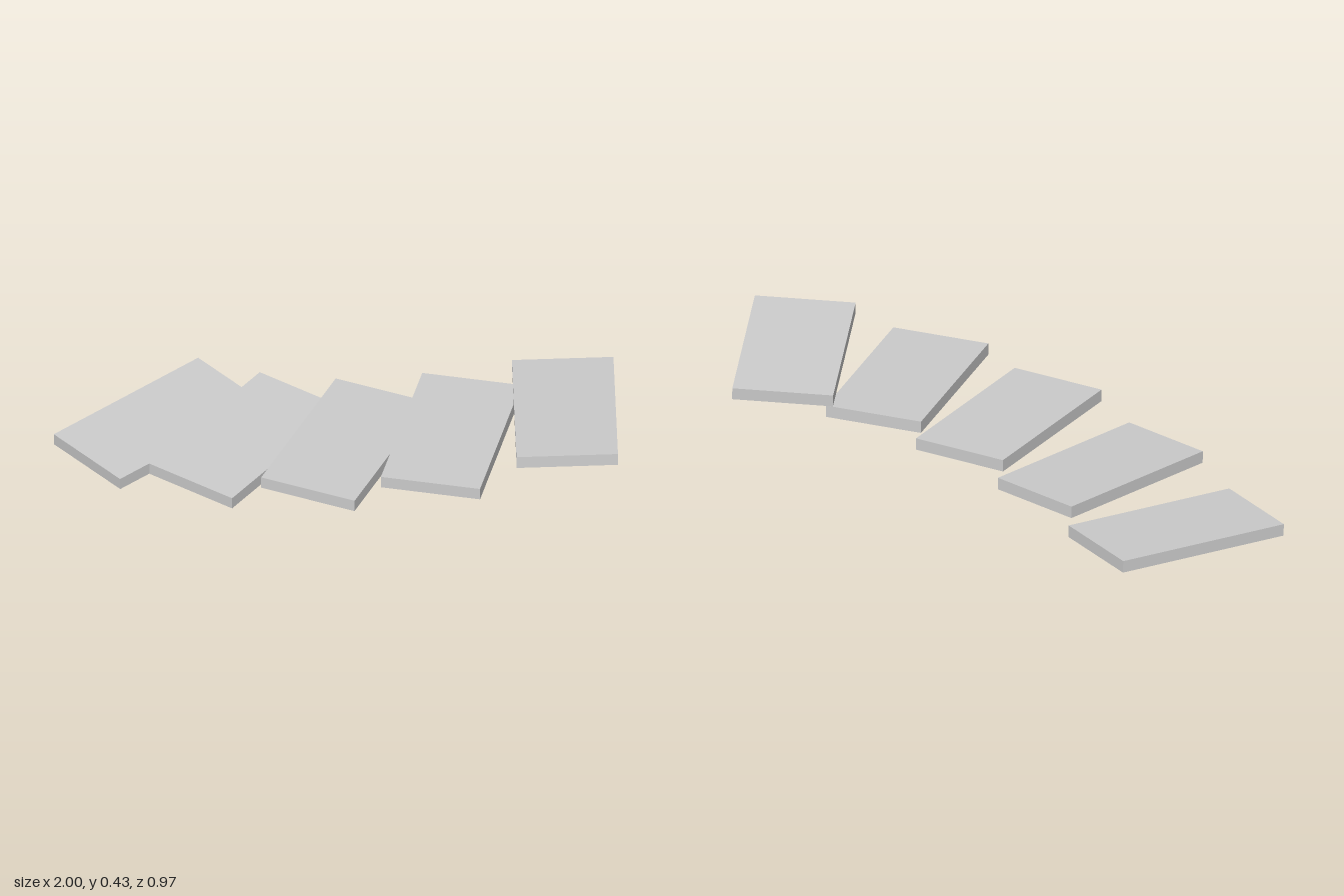
import * as THREE from 'three';

// Curved flight of five floating, slightly tilted slabs
export function createModel() {
  const group = new THREE.Group();
  group.name = 'curvedSteps';
  const material = new THREE.MeshStandardMaterial({ color: 0xcccccc });
  const slab = new THREE.BoxGeometry(0.341, 0.042, 0.64);

  // centre x, y, z, then yaw, pitch, roll in degrees
  const steps = [
    [-0.667, 0.046, -0.132, -38, 3, -1.7],
    [-0.335, 0.134, 0.043, -24.1, 2.2, -1.6],
    [0.023, 0.221, 0.134, -11.7, 0.9, -1.1],
    [0.387, 0.306, 0.139, -1.2, 0.6, 0],
    [0.76, 0.394, 0.053, 12.7, -2.7, 1.2],
  ];

  steps.forEach(([x, y, z, ...angles], i) => {
    const [yaw, pitch, roll] = angles.map(THREE.MathUtils.degToRad);
    const step = new THREE.Mesh(slab, material);
    step.name = `step${i + 1}`;
    step.position.set(x, y, z);
    step.rotation.set(pitch, yaw, roll, 'YXZ');
    group.add(step);
  });
  return group;
}
